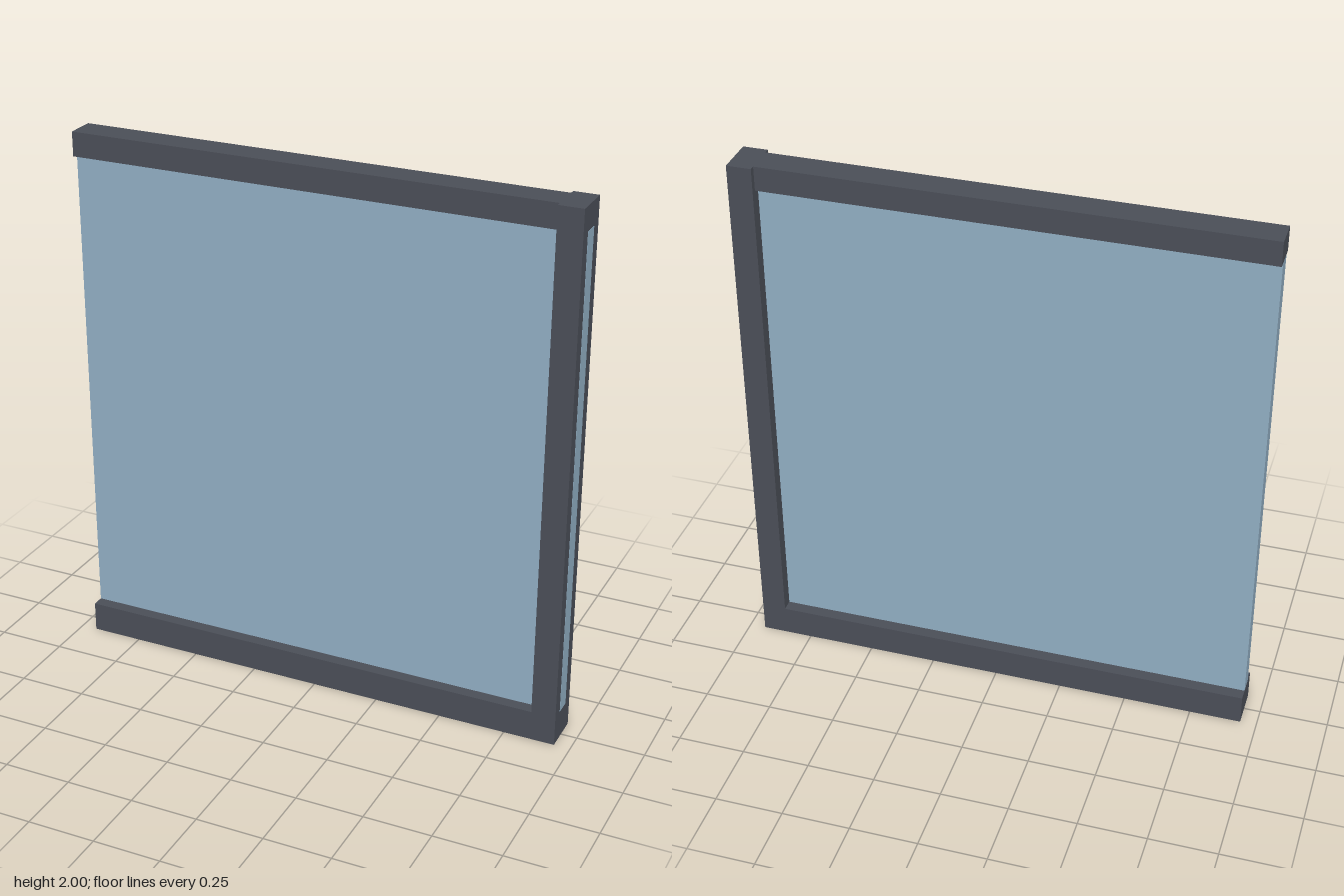
import * as THREE from 'three';

const frame = new THREE.MeshStandardMaterial({ color: 0x4a4e57 });
frame.name = 'charcoal frame';
const glass = new THREE.MeshStandardMaterial({ color: 0x90adc2 });
glass.name = 'blue glass';

// Box spanning x0..x1 and y0..y1, centred on z = 0
function bar(name, material, x0, x1, y0, y1, depth) {
  const mesh = new THREE.Mesh(new THREE.BoxGeometry(x1 - x0, y1 - y0, depth), material);
  mesh.position.set((x0 + x1) / 2, (y0 + y1) / 2, 0);
  mesh.name = name;
  return mesh;
}

export function createModel() {
  const group = new THREE.Group();
  group.name = 'glassPanel';
  const end = 0.94, post = 0.85, sill = 0.113, head = 1.91;

  group.add(
    bar('bottomRail', frame, -end, end, 0, sill, 0.15),
    bar('sidePost', frame, post, end, sill, 2, 0.15),
    // The top rail is slimmer than the post
    bar('topRail', frame, -end, post, head, 2, 0.11),
    // The pane runs through the post and shows in its outer face
    bar('pane', glass, -end, end + 0.001, sill, head, 0.06),
  );
  return group;
}
